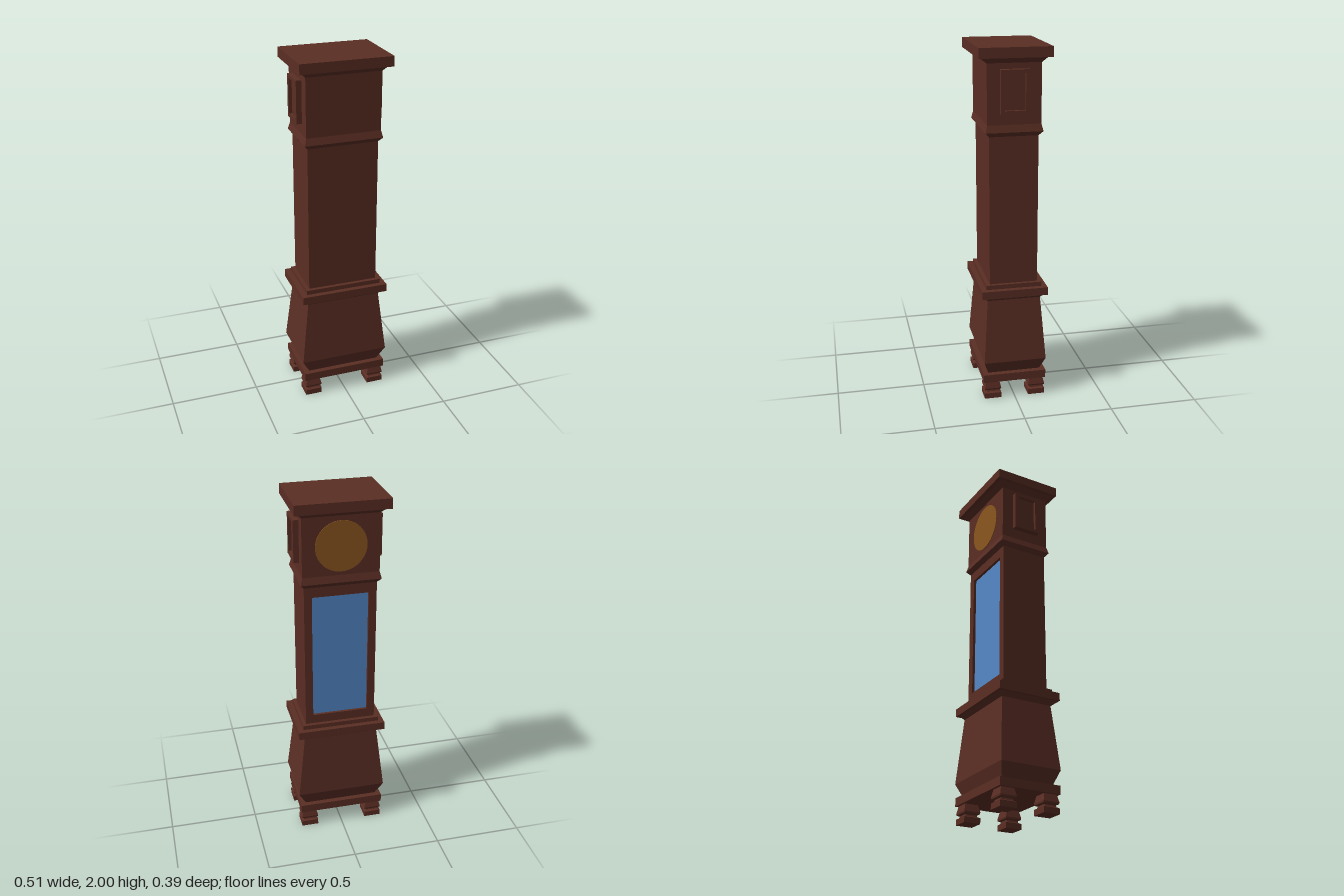
import * as THREE from 'three';

// Rectangular loft: each level is [y, halfWidth, halfDepth], bottom to top, capped at both ends
function loft(levels) {
  const pos = [];
  const ring = ([y, hx, hz]) => [[-hx, y, hz], [hx, y, hz], [hx, y, -hz], [-hx, y, -hz]];
  const quad = (a, b, c, d) => pos.push(...a, ...b, ...c, ...a, ...c, ...d);
  for (let i = 0; i < levels.length - 1; i++) {
    const lo = ring(levels[i]), hi = ring(levels[i + 1]);
    for (let k = 0; k < 4; k++) {
      const n = (k + 1) % 4;
      quad(lo[k], lo[n], hi[n], hi[k]);
    }
  }
  const b = ring(levels[0]), t = ring(levels[levels.length - 1]);
  quad(b[3], b[2], b[1], b[0]);
  quad(t[0], t[1], t[2], t[3]);
  const g = new THREE.BufferGeometry();
  g.setAttribute('position', new THREE.Float32BufferAttribute(pos, 3));
  g.computeVertexNormals();
  return g;
}

// Rectangular frame with an opening, extruded along +z from z = 0
function frame(hw, hh, openW, openH, depth) {
  const rect = (P, w, h) => {
    const p = new P();
    p.moveTo(-w, -h).lineTo(w, -h).lineTo(w, h).lineTo(-w, h).closePath();
    return p;
  };
  const s = rect(THREE.Shape, hw, hh);
  s.holes.push(rect(THREE.Path, openW, openH));
  return new THREE.ExtrudeGeometry(s, { depth, bevelEnabled: false });
}

export function createModel() {
  const group = new THREE.Group();
  const material = (name, color) => {
    const m = new THREE.MeshStandardMaterial({ color });
    m.name = name;
    return m;
  };
  const wood = material('dark wood', 0x5b2e24);
  const brass = material('brass', 0x8c5620);
  const glass = material('blue glass', 0x5488c8);
  const add = (name, geo, mat, x = 0, y = 0, z = 0, parent = group) => {
    const m = new THREE.Mesh(geo, mat);
    m.name = name;
    m.position.set(x, y, z);
    parent.add(m);
    return m;
  };

  // Turned square feet
  const footGeo = loft([
    [0, 0.048, 0.048], [0.032, 0.048, 0.048], [0.038, 0.036, 0.036], [0.048, 0.034, 0.034],
    [0.053, 0.046, 0.046], [0.062, 0.048, 0.048], [0.104, 0.038, 0.038],
  ]);
  for (const x of [-0.192, 0.192])
    for (const z of [-0.127, 0.127]) add('foot', footGeo, wood, x, 0, z);

  // Plinth, swelling base and its stepped top
  add('plinth', loft([[0.103, 0.244, 0.18], [0.15, 0.244, 0.18]]), wood);
  add('base', loft([[0.15, 0.212, 0.15], [0.23, 0.255, 0.178], [0.6, 0.212, 0.15]]), wood);
  add('baseCornice', loft([
    [0.595, 0.212, 0.15], [0.62, 0.235, 0.172], [0.62, 0.251, 0.186], [0.665, 0.251, 0.186],
    [0.665, 0.22, 0.157], [0.69, 0.22, 0.157],
  ]), wood);

  // Trunk with a glazed opening in the -z side
  add('trunk', loft([[0.68, 0.2, 0.125], [1.53, 0.2, 0.125]]), wood, 0, 0, 0.01);
  add('trunkFrame', frame(0.2, 0.425, 0.157, 0.363, 0.02), wood, 0, 1.105, -0.135);
  add('trunkGlass', new THREE.BoxGeometry(0.314, 0.726, 0.006), glass, 0, 1.105, -0.117);

  // Hood with flared lower moulding and cornice
  add('hood', loft([
    [1.525, 0.2, 0.135], [1.55, 0.22, 0.157], [1.59, 0.21, 0.147], [1.915, 0.21, 0.147],
    [1.945, 0.237, 0.175],
  ]), wood);
  add('topSlab', loft([[1.945, 0.256, 0.197], [2, 0.256, 0.197]]), wood);

  // Round dial on the -z side
  const dial = add('dial', new THREE.CylinderGeometry(0.14, 0.14, 0.006, 48), brass, 0, 1.75, -0.148);
  dial.rotation.x = Math.PI / 2;

  // Framed panels on both sides of the hood
  for (const side of [-1, 1]) {
    const panel = new THREE.Group();
    panel.name = 'sidePanel';
    panel.position.set(side * 0.21, 1.767, 0);
    panel.rotation.y = side * Math.PI / 2;
    add('panelFrame', frame(0.078, 0.117, 0.056, 0.098, 0.03), wood, 0, 0, 0, panel);
    add('panelInset', new THREE.BoxGeometry(0.112, 0.196, 0.012), wood, 0, 0, 0.006, panel);
    group.add(panel);
  }
  return group;
}
